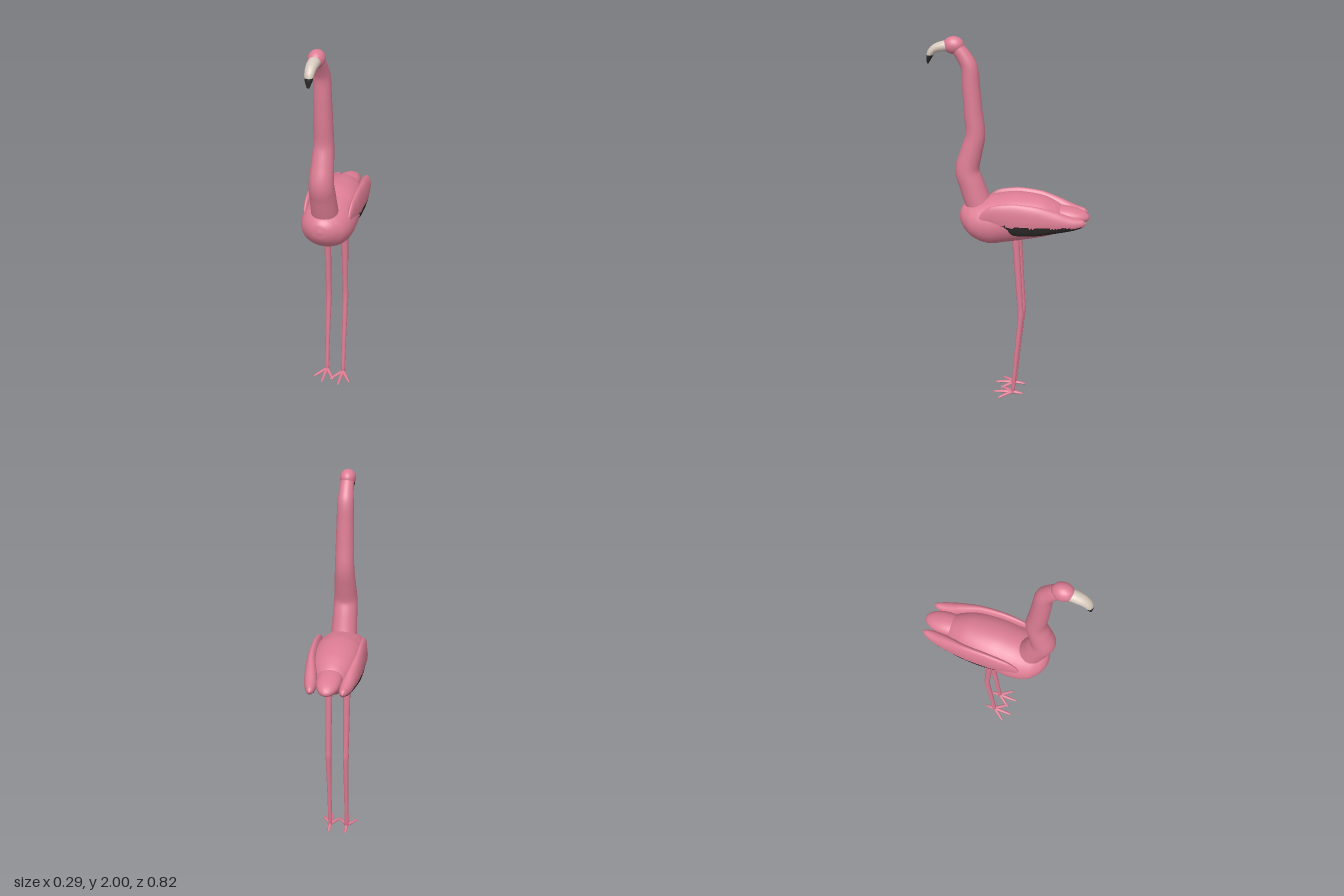
import * as THREE from 'three';

const mat = (name, color) => Object.assign(new THREE.MeshStandardMaterial({ color }), { name });

// Smooth loft through stations [x, y, z, sideRadius, otherRadius].
// axis fixes the section plane; otherwise sections follow the path.
// isSecond(centroid) picks the faces that take the second material.
function loft(stations, { steps = 40, sides = 28, axis = null, isSecond = null } = {}) {
  const path = new THREE.CatmullRomCurve3(stations.map(s => new THREE.Vector3(s[0], s[1], s[2])));
  const size = new THREE.CatmullRomCurve3(stations.map(s => new THREE.Vector3(s[3], s[4] ?? s[3], 0)));
  const ref = new THREE.Vector3(1, 0, 0);
  const pts = [];
  for (let i = 0; i <= steps; i++) {
    const u = i / steps;
    const c = path.getPoint(u), r = size.getPoint(u);
    const t = axis ? axis.clone() : path.getTangent(u);
    const n = t.clone().cross(ref).normalize();
    const s = n.clone().cross(t).normalize();
    for (let j = 0; j < sides; j++) {
      const a = (j / sides) * Math.PI * 2;
      pts.push(c.clone()
        .addScaledVector(s, Math.max(r.x, 0.0005) * Math.cos(a))
        .addScaledVector(n, Math.max(r.y, 0.0005) * Math.sin(a)));
    }
  }
  const first = pts.length, last = first + 1;
  pts.push(path.getPoint(0), path.getPoint(1));

  const main = [], second = [];
  const tri = (a, b, c) => {
    const mid = pts[a].clone().add(pts[b]).add(pts[c]).divideScalar(3);
    (isSecond && isSecond(mid) ? second : main).push(a, b, c);
  };
  for (let j = 0; j < sides; j++) {
    const k = (j + 1) % sides;
    for (let i = 0; i < steps; i++) {
      const a = i * sides + j, b = i * sides + k;
      tri(a, b, a + sides);
      tri(b, b + sides, a + sides);
    }
    tri(first, k, j);
    tri(last, steps * sides + j, steps * sides + k);
  }
  const g = new THREE.BufferGeometry().setFromPoints(pts);
  g.setIndex([...main, ...second]);
  g.addGroup(0, main.length, 0);
  if (second.length) g.addGroup(main.length, second.length, 1);
  g.computeVertexNormals();
  return g;
}

export function createModel() {
  const pink = mat('pink plumage', 0xdd7d94);
  const cream = mat('cream beak', 0xd6c8bc);
  const black = mat('black', 0x2c2828);
  const model = new THREE.Group();
  const add = (name, geometry, material, parent = model) => {
    const m = new THREE.Mesh(geometry, material);
    m.name = name;
    parent.add(m);
    return m;
  };
  const back = new THREE.Vector3(0, 0, -1);

  // Body: [z, bottom, top, half width] from breast to rump
  const body = [
    [0.266, 1.078, 1.08, 0.001], [0.258, 1.04, 1.115, 0.04], [0.24, 1.01, 1.138, 0.073],
    [0.2, 0.97, 1.16, 0.112], [0.15, 0.945, 1.177, 0.131], [0.09, 0.935, 1.194, 0.139],
    [0, 0.952, 1.212, 0.14], [-0.1, 0.972, 1.211, 0.131], [-0.18, 0.988, 1.198, 0.112],
    [-0.25, 1.01, 1.165, 0.08], [-0.29, 1.04, 1.13, 0.045], [-0.305, 1.078, 1.085, 0.001],
  ].map(([z, lo, hi, w]) => [0, (lo + hi) / 2, z, w, (hi - lo) / 2]);
  add('body', loft(body, { axis: back, steps: 44, sides: 36 }), pink);

  // Tail
  const tail = add('tail', new THREE.SphereGeometry(1, 28, 18), pink);
  tail.scale.set(0.062, 0.042, 0.12);
  tail.position.set(0, 1.112, -0.292);
  tail.rotation.x = -0.12;

  // Neck and head
  add('neck', loft([
    [0, 1.12, 0.155, 0.07], [0, 1.17, 0.174, 0.068], [0, 1.25, 0.2, 0.065], [0, 1.325, 0.222, 0.062],
    [0, 1.42, 0.2, 0.056], [0, 1.515, 0.177, 0.05], [0, 1.63, 0.185, 0.047], [0, 1.75, 0.193, 0.044],
    [0, 1.855, 0.201, 0.041], [0, 1.9, 0.223, 0.037], [0, 1.945, 0.255, 0.033],
  ], { steps: 50 }), pink);
  const head = add('head', new THREE.SphereGeometry(1, 28, 20), pink);
  head.scale.set(0.04, 0.042, 0.051);
  head.position.set(0, 1.958, 0.274);

  // Hooked beak with a black tip
  add('beak', loft([
    [0, 1.955, 0.295, 0.028, 0.027], [0, 1.951, 0.33, 0.028, 0.025], [0, 1.94, 0.365, 0.025, 0.021],
    [0, 1.92, 0.387, 0.022, 0.018], [0, 1.895, 0.398, 0.017, 0.013], [0, 1.866, 0.405, 0.005, 0.004],
  ], { isSecond: p => p.y < 1.908 }), [cream, black]);

  // Wing: [z, inner x, outer x, bottom, top] from shoulder to tip
  const wing = [
    [0.148, 0.113, 0.116, 1.098, 1.104], [0.132, 0.107, 0.125, 1.083, 1.14], [0.09, 0.101, 0.134, 1.068, 1.176],
    [0.03, 0.096, 0.142, 1.045, 1.192], [-0.05, 0.092, 0.145, 1.025, 1.198], [-0.15, 0.086, 0.143, 1.03, 1.188],
    [-0.25, 0.066, 0.132, 1.045, 1.16], [-0.33, 0.057, 0.116, 1.06, 1.13], [-0.38, 0.064, 0.097, 1.077, 1.116],
    [-0.398, 0.078, 0.082, 1.095, 1.1],
  ];
  const isFlight = p => p.y < 1.083 + 0.004 * Math.sin(p.z * 60) && p.z < 0.035 && p.z > -0.375;

  for (const [side, s] of [['left', 1], ['right', -1]]) {
    const stations = wing.map(([z, a, b, lo, hi]) => [s * (a + b) / 2, (lo + hi) / 2, z, (b - a) / 2, (hi - lo) / 2]);
    add(side + 'Wing', loft(stations, { axis: back, steps: 60, sides: 40, isSecond: isFlight }), [pink, black]);

    // Leg, bent slightly back at the joint
    const leg = new THREE.Group();
    leg.name = side + 'Leg';
    model.add(leg);
    const x = s * 0.048;
    add('shank', loft([
      [x, 1.0, -0.033, 0.02], [x, 0.75, -0.049, 0.0175], [x, 0.56, -0.061, 0.0155], [x, 0.52, -0.063, 0.0165],
      [x, 0.48, -0.061, 0.0155], [x, 0.25, -0.04, 0.0125], [x, 0.012, -0.02, 0.011],
    ], { sides: 16 }), pink, leg);

    // Three front toes and a hind toe
    for (const [dx, dz] of [[0, 0.115], [0.056, 0.075], [-0.056, 0.075], [0, -0.06]]) {
      add('toe', loft([
        [x, 0.014, -0.02, 0.011, 0.01], [x + dx * 0.5, 0.011, -0.02 + dz * 0.5, 0.009, 0.007],
        [x + dx * 0.9, 0.006, -0.02 + dz * 0.9, 0.006, 0.005], [x + dx, 0.004, -0.02 + dz, 0.002, 0.002],
      ], { steps: 10, sides: 10 }), pink, leg);
    }
  }
  return model;
}
